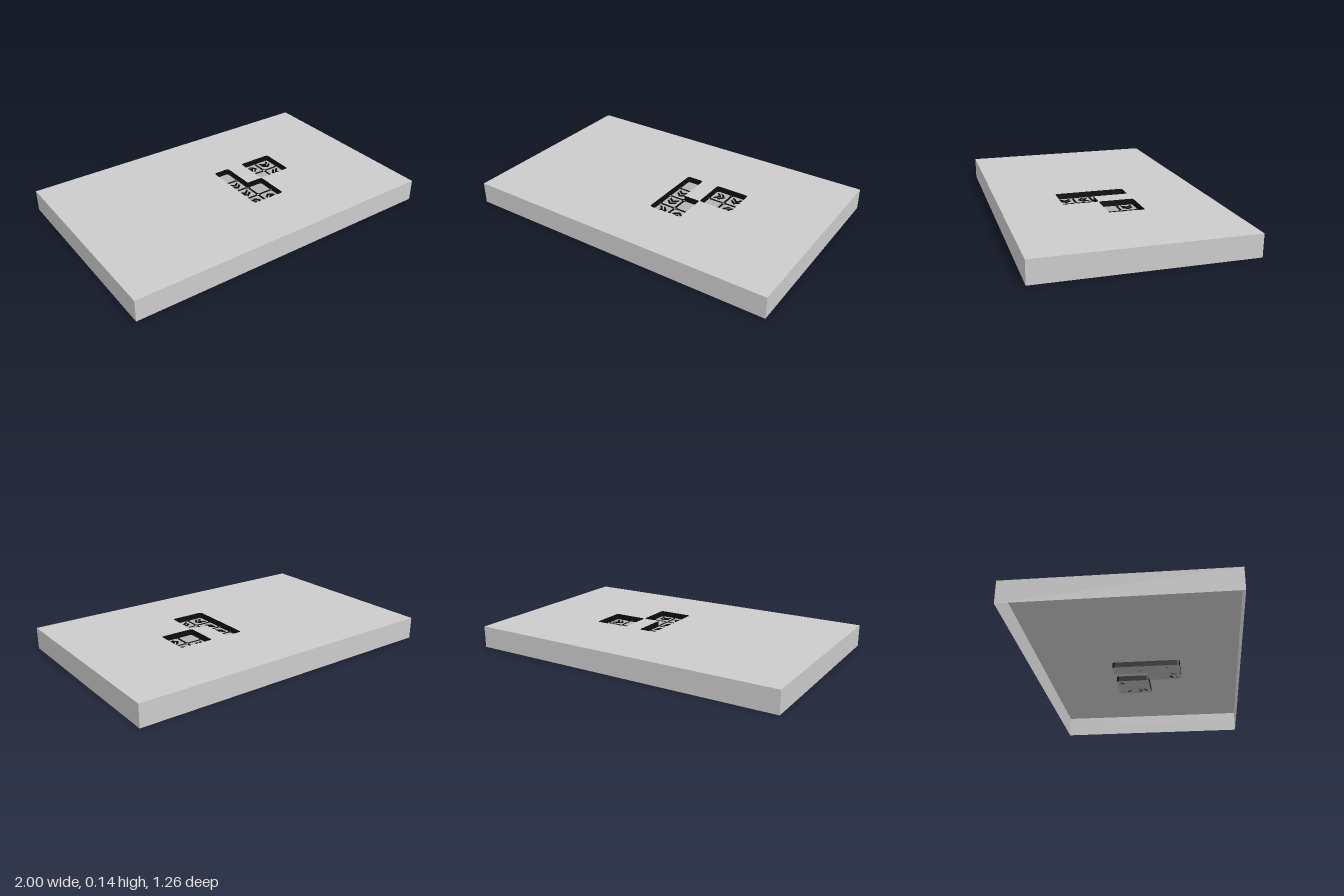
import * as THREE from 'three';

const W = 1, D = 0.63, H = 0.135;      // half width, half depth, height
const PITCH = 0.108, X0 = 0.026, Z0 = -0.171; // tile grid origin and spacing
const DEPTH = 0.035, RADIUS = 0.016;
const FLOOR = H - DEPTH;

const side = THREE.DoubleSide;
const grey = new THREE.MeshStandardMaterial({ color: 0xcccccc, side });
const tileGrey = new THREE.MeshStandardMaterial({ color: 0xb4b4b4, side });
const black = new THREE.MeshStandardMaterial({ color: 0x0c0c0c, side });

// Shapes are drawn as (x, -z) and laid flat, facing up
function flat(name, geometry, material, y) {
  const mesh = new THREE.Mesh(geometry.rotateX(-Math.PI / 2), material);
  mesh.name = name;
  mesh.position.y = y;
  return mesh;
}

// Polygon with rounded corners; corners are [x, y, radius]
function roundedLoop(corners, Type = THREE.Shape) {
  const loop = new Type();
  const n = corners.length;
  corners.forEach(([x, y, r], i) => {
    const toward = ([px, py]) => {
      const l = Math.hypot(px - x, py - y);
      return [x + (px - x) * r / l, y + (py - y) * r / l];
    };
    const a = toward(corners[(i + n - 1) % n]);
    const b = toward(corners[(i + 1) % n]);
    if (i) loop.lineTo(...a); else loop.moveTo(...a);
    if (r) loop.quadraticCurveTo(x, y, ...b);
  });
  loop.closePath();
  return loop;
}

function square(half, r, Type) {
  return roundedLoop([[-half, -half, r], [half, -half, r], [half, half, r], [-half, half, r]], Type);
}

// Upright ribbon following a closed outline
function wall(name, points, y0, y1, material) {
  const pos = [];
  points.forEach((p, i) => {
    const q = points[(i + 1) % points.length];
    pos.push(p.x, y0, -p.y, q.x, y0, -q.y, q.x, y1, -q.y);
    pos.push(p.x, y0, -p.y, q.x, y1, -q.y, p.x, y1, -p.y);
  });
  const g = new THREE.BufferGeometry();
  g.setAttribute('position', new THREE.Float32BufferAttribute(pos, 3));
  g.computeVertexNormals();
  const mesh = new THREE.Mesh(g, material);
  mesh.name = name;
  return mesh;
}

// Grid corner (column, row) to shape coordinates
const gridCorner = ([c, r, sharp]) => [X0 + c * PITCH, -(Z0 + r * PITCH), sharp ? 0 : RADIUS];

// Pocket outlines, anticlockwise seen from above; a third entry marks an inner corner
const POCKETS = [
  [[0, 0], [0, 4], [2, 4], [2, 2], [1, 2, true], [1, 0]],
  [[2, 0], [2, 2], [4, 2], [4, 0]],
];

// Tiles: column, row, quarter turns of the arrow from pointing back (null = blank)
const TILES = [
  [0, 0, null], [0, 1, 2], [0, 2, 2], [0, 3, 3], [1, 2, null], [1, 3, 0],
  [2, 0, 3], [3, 0, 2], [2, 1, null], [3, 1, 1],
];

function chevronShape(y) {
  const w = 0.03, rise = 0.024, t = 0.016;
  return new THREE.Shape([
    [-w, y], [-w, y - t], [0, y + rise - t], [w, y - t], [w, y], [0, y + rise],
  ].reverse().map(p => new THREE.Vector2(...p)));
}

function makeTile([col, row, turn]) {
  const tile = new THREE.Group();
  tile.name = 'tile';
  const frame = square(PITCH / 2, RADIUS);
  frame.holes.push(square(PITCH / 2 - 0.007, RADIUS - 0.004, THREE.Path));
  tile.add(flat('tileFrame', new THREE.ShapeGeometry(frame, 4), black, 0.0015));
  if (turn !== null) {
    const shapes = [chevronShape(0.007), chevronShape(-0.02)];
    const arrow = new THREE.ExtrudeGeometry(shapes, { depth: 0.003, bevelEnabled: false });
    const mesh = flat('directionArrow', arrow, black, 0);
    mesh.rotation.y = turn * Math.PI / 2;
    tile.add(mesh);
  }
  tile.position.set(X0 + (col + 0.5) * PITCH, FLOOR, Z0 + (row + 0.5) * PITCH);
  return tile;
}

export function createModel() {
  const model = new THREE.Group();
  model.name = 'tileBoard';

  // Open-bottomed case with pocket openings in its top
  const plate = roundedLoop([[-W, -D, 0], [W, -D, 0], [W, D, 0], [-W, D, 0]]);
  model.add(wall('caseSides', plate.getPoints().slice(0, 4), 0, H, grey));
  for (const outline of POCKETS) {
    plate.holes.push(roundedLoop(outline.map(gridCorner), THREE.Path));
  }
  model.add(flat('topPlate', new THREE.ShapeGeometry(plate, 4), grey, H));

  // Sunken pockets
  for (const outline of POCKETS) {
    const shape = roundedLoop(outline.map(gridCorner));
    model.add(wall('pocketWall', shape.getPoints(4), FLOOR, H, black));
    model.add(flat('pocketFloor', new THREE.ShapeGeometry(shape, 4), tileGrey, FLOOR));
  }

  // Framed tiles with arrows
  for (const t of TILES) model.add(makeTile(t));
  return model;
}
